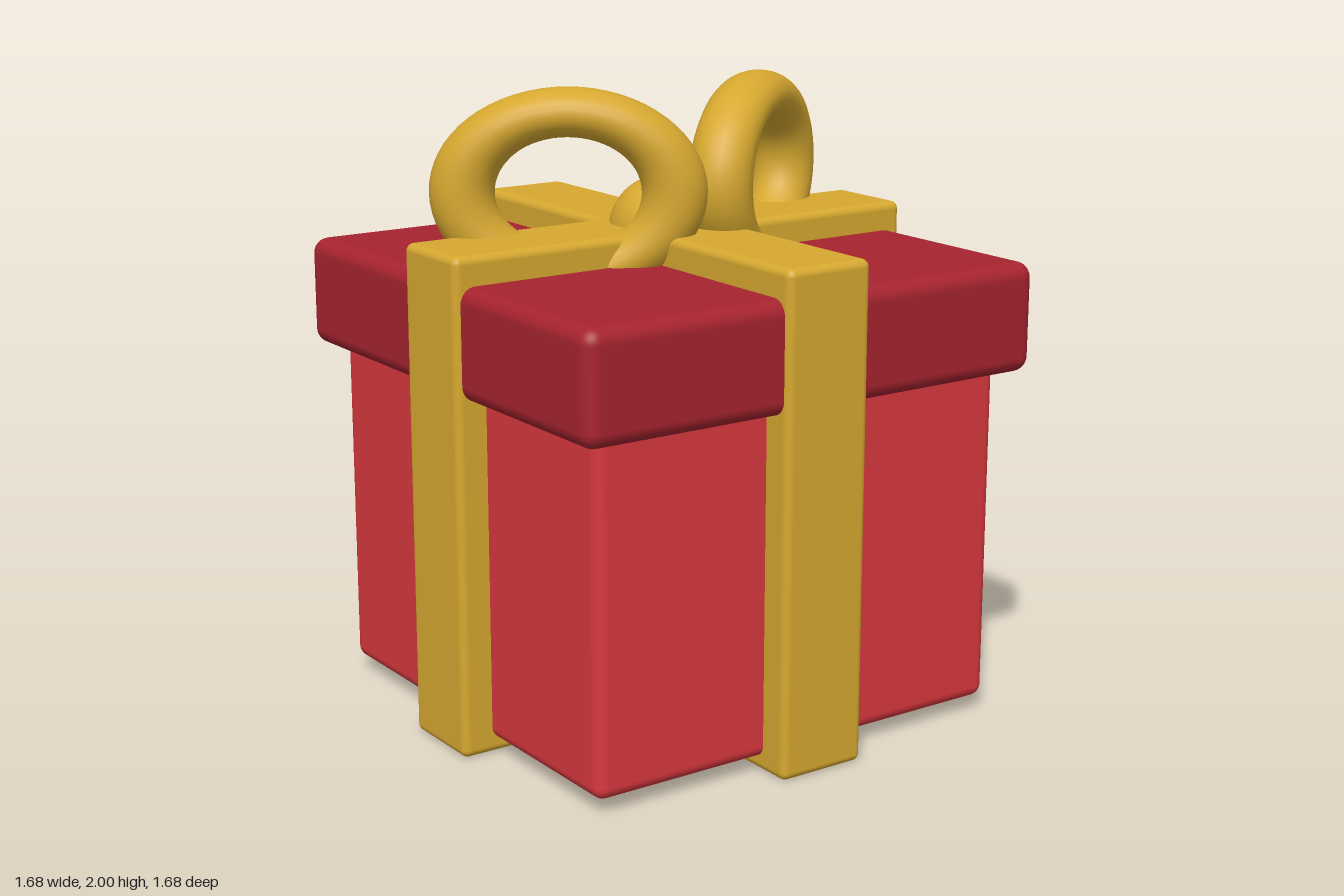
import * as THREE from 'three';
import { RoundedBoxGeometry } from 'three/addons/geometries/RoundedBoxGeometry.js';

const mat = (name, color) => {
  const m = new THREE.MeshStandardMaterial({ color });
  m.name = name;
  return m;
};

export function createModel() {
  const group = new THREE.Group();
  group.name = 'giftBox';
  const red = mat('brightRed', 0xd8383e);
  const darkRed = mat('darkRed', 0xa6232f);
  const gold = mat('gold', 0xd6a830);

  const add = (name, geometry, material, x, y, z) => {
    const mesh = new THREE.Mesh(geometry, material);
    mesh.name = name;
    mesh.position.set(x, y, z);
    group.add(mesh);
    return mesh;
  };
  // rounded block spanning y0..y1, centred on the vertical axis
  const block = (name, material, w, d, y0, y1, r) =>
    add(name, new RoundedBoxGeometry(w, y1 - y0, d, 5, r), material, 0, (y0 + y1) / 2, 0);

  // box and its overhanging lid
  block('boxBody', red, 1.48, 1.48, 0.045, 1.25, 0.04);
  block('lid', darkRed, 1.64, 1.64, 1.12, 1.465, 0.05);

  // two crossing ribbon bands wrapped around the whole box
  block('ribbonAcross', gold, 1.68, 0.3, 0, 1.555, 0.025);
  block('ribbonFrontToBack', gold, 0.3, 1.68, 0, 1.555, 0.025);

  // bow: two squashed loops swept backwards and a round knot
  for (const side of [-1, 1]) {
    const loop = add(side > 0 ? 'bowLoopLeft' : 'bowLoopRight',
      new THREE.TorusGeometry(0.323, 0.1, 24, 64), gold, side * 0.35, 1.68, 0);
    loop.scale.y = 0.756;
    loop.rotation.y = side * THREE.MathUtils.degToRad(35);
  }
  add('bowKnot', new THREE.SphereGeometry(0.17, 40, 24), gold, 0, 1.53, 0);

  return group;
}
